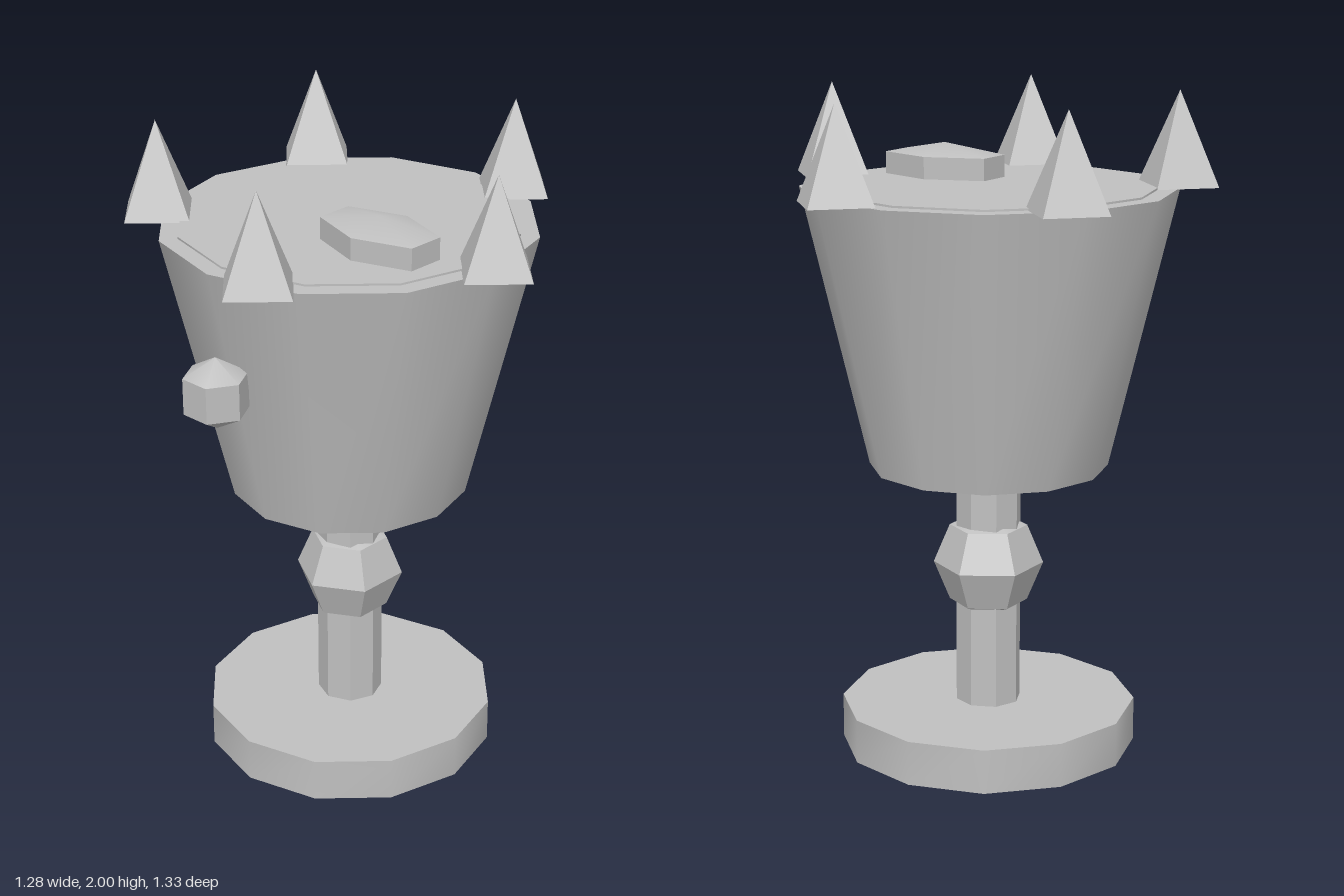
import * as THREE from 'three';
import { toCreasedNormals } from 'three/addons/utils/BufferGeometryUtils.js';

export function createModel() {
  const group = new THREE.Group();
  const stone = new THREE.MeshStandardMaterial({ color: 0xc0c0c0 });
  stone.name = 'grey metal';
  const axisX = -0.055; // goblet axis, offset so the whole model is centred

  function add(name, geometry, x, y, z) {
    const mesh = new THREE.Mesh(toCreasedNormals(geometry, 0.6), stone);
    mesh.name = name;
    mesh.position.set(x, y, z);
    group.add(mesh);
    return mesh;
  }

  // Upright frustum standing between two heights on the goblet axis
  function frustum(name, rTop, rBottom, y0, y1, sides) {
    return add(name, new THREE.CylinderGeometry(rTop, rBottom, y1 - y0, sides), axisX, (y0 + y1) / 2, 0);
  }

  // Foot, stem, bowl and the surface of the drink
  frustum('foot', 0.45, 0.45, 0, 0.135, 12);
  frustum('stem', 0.1, 0.1, 0.135, 0.88, 8);
  frustum('bowl', 0.56, 0.36, 0.88, 1.72, 12);
  frustum('drinkSurface', 0.505, 0.505, 1.7, 1.726, 12);

  // Faceted knob on the stem
  add('stemKnob', new THREE.SphereGeometry(0.167, 6, 4).rotateY(Math.PI / 6), axisX, 0.57, 0);

  // Gem set in the front of the bowl
  add('frontGem', new THREE.SphereGeometry(0.11, 6, 3), axisX, 1.355, 0.54);

  // Flattened lump floating on the drink
  add('floatingLump',
    new THREE.SphereGeometry(1, 6, 3).rotateY(Math.PI / 6).scale(0.234, 0.067, 0.134),
    0.171, 1.759, 0.112);

  // Five pyramid spikes around the rim
  for (let i = 0; i < 5; i++) {
    const a = (i * 2 * Math.PI) / 5;
    add('rimSpike' + (i + 1), new THREE.ConeGeometry(0.134, 0.28, 4),
      axisX + 0.56 * Math.cos(a), 1.86, 0.56 * Math.sin(a));
  }

  return group;
}
